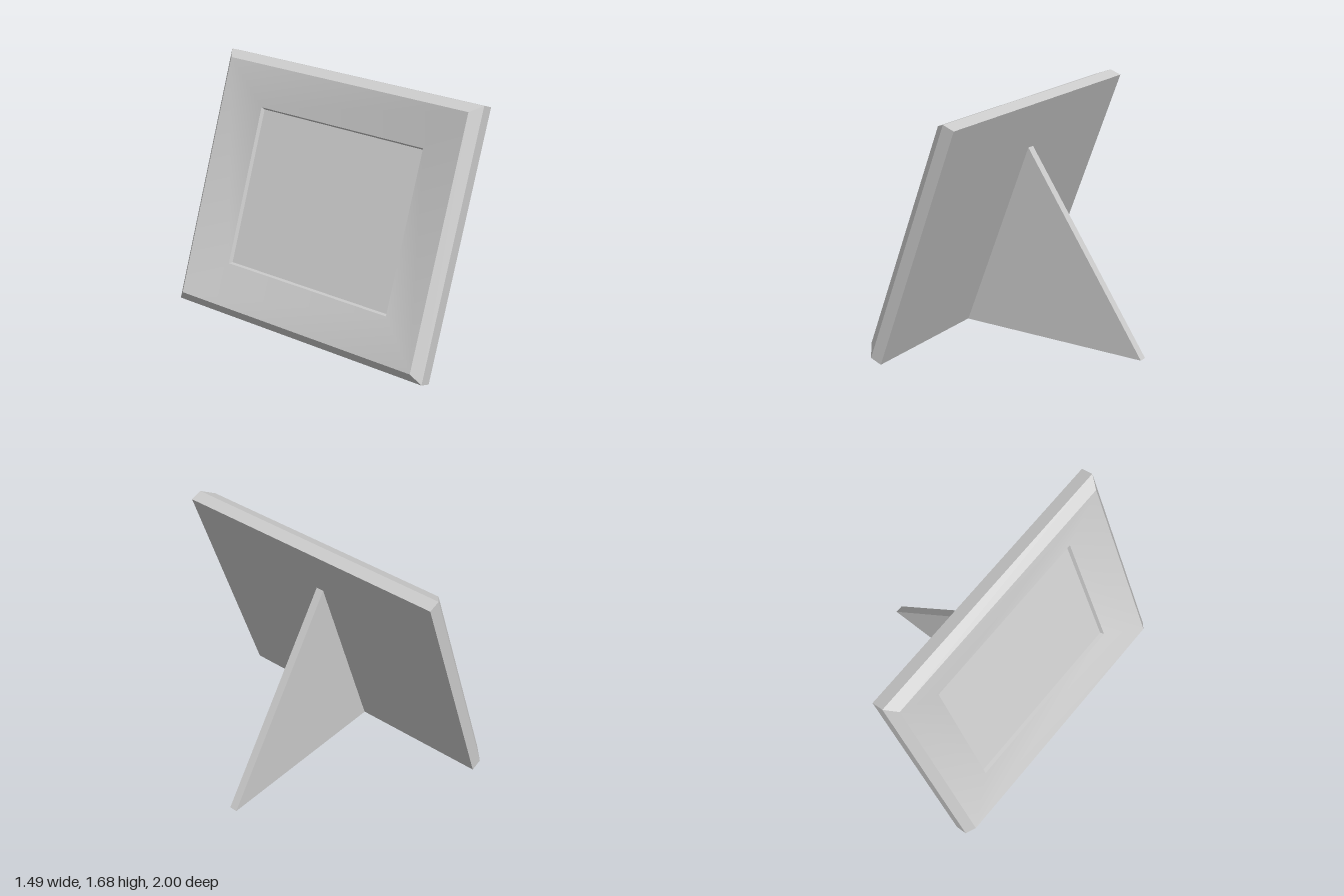
import * as THREE from 'three';
import { mergeVertices } from 'three/addons/utils/BufferGeometryUtils.js';

const material = new THREE.MeshStandardMaterial({ color: 0xcccccc });

// Corners of a rectangle, anticlockwise seen from the front of the frame
function ring([halfW, halfH, depth]) {
  return [[-1, -1], [1, -1], [1, 1], [-1, 1]].map(([sx, sy]) => [sx * halfW, sy * halfH, depth]);
}

// Four walls joining two rectangles; smooth shares the corner normals
function walls(outer, inner, smooth = false) {
  const a = ring(outer), b = ring(inner), pos = [];
  for (let i = 0; i < 4; i++) {
    const j = (i + 1) % 4;
    pos.push(...a[i], ...a[j], ...b[j], ...a[i], ...b[j], ...b[i]);
  }
  let geo = new THREE.BufferGeometry();
  geo.setAttribute('position', new THREE.Float32BufferAttribute(pos, 3));
  if (smooth) geo = mergeVertices(geo);
  geo.computeVertexNormals();
  return geo;
}

function add(parent, name, geometry) {
  const mesh = new THREE.Mesh(geometry, material);
  mesh.name = name;
  parent.add(mesh);
  return mesh;
}

export function createModel() {
  const model = new THREE.Group();
  model.name = 'pictureFrame';

  // Half width, half height and depth of each step, from the back forwards
  const back = [1, 0.872, 0];
  const side = [1, 0.872, 0.085];
  const lip = [0.94, 0.816, 0.15];
  const opening = [0.648, 0.535, 0.09];
  const floor = [0.638, 0.525, 0.065];

  // Leaning frame: width along z, height along the slope, facing -x
  const frame = new THREE.Group();
  frame.name = 'frame';
  const up = new THREE.Vector3(0.62, 1.633, 0).normalize();
  const across = new THREE.Vector3(0, 0, 1);
  const facing = new THREE.Vector3().crossVectors(across, up);
  frame.quaternion.setFromRotationMatrix(new THREE.Matrix4().makeBasis(across, up, facing));
  frame.rotateOnWorldAxis(new THREE.Vector3(0, 1, 0), 0.006);
  frame.position.set(-0.31, 0.837, 0);
  model.add(frame);

  add(frame, 'frameSides', walls(back, side));
  add(frame, 'frameBevel', walls(side, lip));
  add(frame, 'frameMoulding', walls(lip, opening, true));
  add(frame, 'openingEdge', walls(opening, floor));
  add(frame, 'picturePanel', new THREE.PlaneGeometry(floor[0] * 2, floor[1] * 2)).position.z = floor[2];
  add(frame, 'backPanel', new THREE.PlaneGeometry(back[0] * 2, back[1] * 2)).rotation.y = Math.PI;

  // Triangular easel stand, slightly askew
  const outline = new THREE.Shape([
    new THREE.Vector2(-0.62, 0.02),
    new THREE.Vector2(0.745, 0),
    new THREE.Vector2(-0.125, 1.322),
  ]);
  const stand = new THREE.ExtrudeGeometry(outline, { depth: 0.056, bevelEnabled: false });
  const p = stand.attributes.position;
  for (let i = 0; i < p.count; i++) {
    p.setZ(i, p.getZ(i) - 0.049 - 0.0235 * p.getX(i) - 0.008 * p.getY(i));
  }
  stand.computeVertexNormals();
  add(model, 'stand', stand);

  return model;
}
